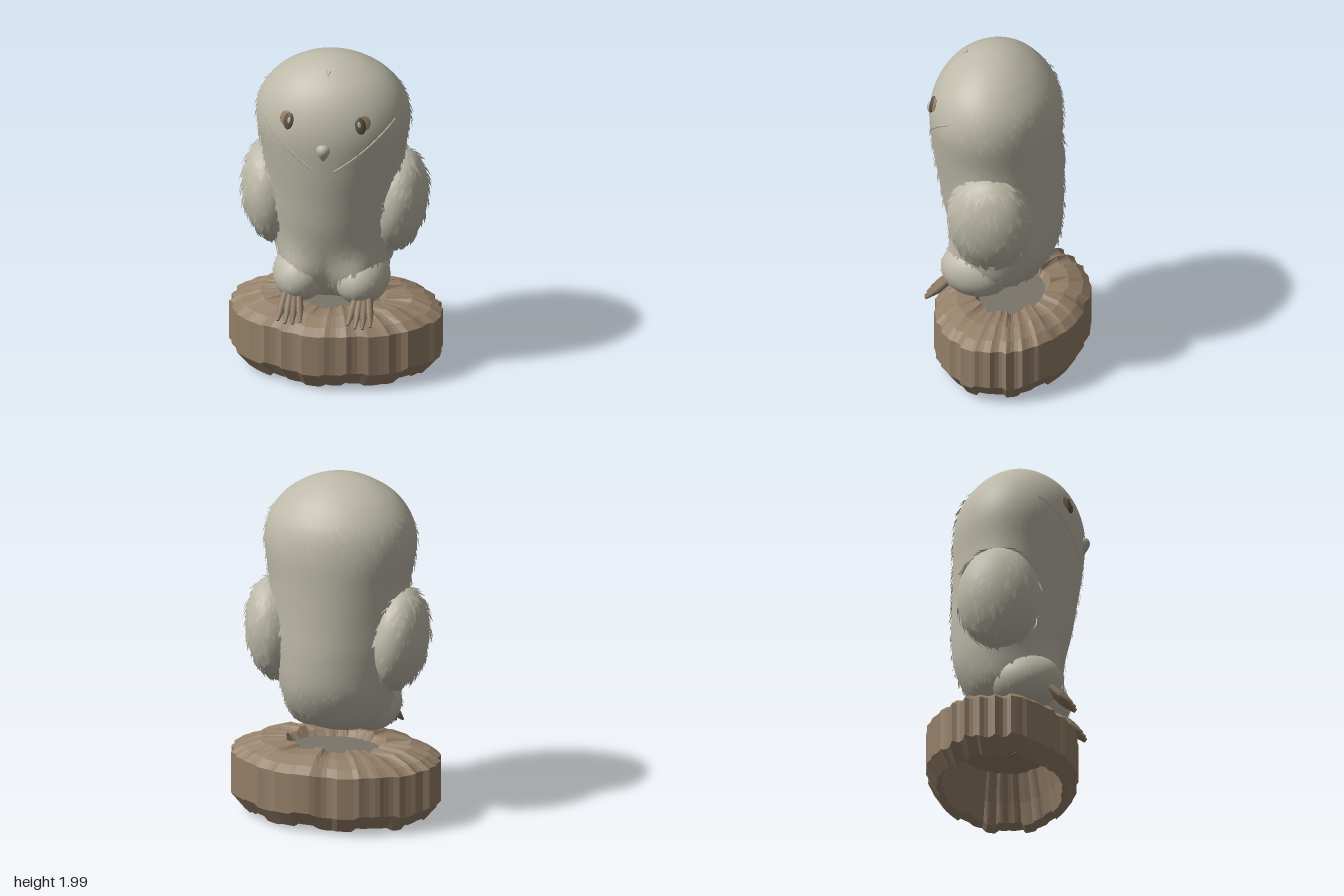
import * as THREE from 'three';
import { mergeGeometries } from 'three/addons/utils/BufferGeometryUtils.js';

const V = (x, y, z) => new THREE.Vector3(x, y, z);
const mat = (name, color, side = THREE.FrontSide) => new THREE.MeshStandardMaterial({ name, color, side });

// seeded random
let seed = 7;
const rnd = () => (seed = (seed * 16807) % 2147483647) / 2147483647;

// body sections: height, half width, front z, back z
const SECTIONS = [
  [0.50, 0, 0.035, 0.035], [0.51, 0.14, 0.14, -0.05], [0.56, 0.23, 0.19, -0.15],
  [0.65, 0.295, 0.235, -0.235], [0.8, 0.322, 0.29, -0.305], [1.0, 0.335, 0.35, -0.325],
  [1.2, 0.358, 0.385, -0.32], [1.4, 0.397, 0.415, -0.315], [1.6, 0.435, 0.43, -0.31],
  [1.75, 0.41, 0.4, -0.275], [1.87, 0.326, 0.332, -0.19], [1.95, 0.208, 0.235, -0.09],
  [1.988, 0.095, 0.155, 0.0], [2.0, 0, 0.075, 0.075],
];
const spine = new THREE.CatmullRomCurve3(SECTIONS.map(([y, w, f, b]) => V(w, y, (f + b) / 2)), false, 'catmullrom');
const depth = new THREE.CatmullRomCurve3(SECTIONS.map(([y, , f, b]) => V((f - b) / 2, y, 0)), false, 'catmullrom');

// soft swellings that blend the limbs into the body: centre, spread, outward push
const SWELLS = [
  [V(0.17, 0.67, 0.17), V(0.14, 0.16, 0.16), V(0.012, 0, 0.085)],
  [V(0.34, 1.08, 0), V(0.2, 0.24, 0.2), V(0.06, 0, 0)],
];

// surfaces take an angle a (0 = front) and a height parameter t in 0..1
function bodySurface(a, t) {
  const s = spine.getPoint(t), d = depth.getPoint(t).x;
  const p = V(s.x * Math.sin(a), s.y, s.z + d * Math.cos(a));
  const half = V(Math.abs(p.x), p.y, p.z), m = Math.tanh(p.x * 12);
  for (const [c, spread, push] of SWELLS) {
    const g = Math.exp(-half.clone().sub(c).divide(spread).lengthSq());
    p.add(V(push.x * m * g, 0, push.z * g));
  }
  return p;
}
const ellipsoid = (c, r, tilt = 0) => (a, t) => {
  const k = Math.sin(Math.PI * t);
  return V(r.x * k * Math.sin(a), -r.y * Math.cos(Math.PI * t), r.z * k * Math.cos(a))
    .applyAxisAngle(V(0, 0, 1), tilt).add(c);
};

// position, outward normal, downward and sideways directions
function frame(fn, a, t) {
  const e = 0.004, p = fn(a, t);
  const side = fn(a + e, t).sub(fn(a - e, t)).normalize();
  const down = fn(a, t - e).sub(fn(a, t + e)).normalize();
  return { p, side, down, n: down.clone().cross(side).normalize() };
}

// point on the front of the body at a given x and y
function onFront(x, y, lift = 0) {
  let lo = 0, hi = 1;
  for (let i = 0; i < 30; i++) {
    const m = (lo + hi) / 2;
    if (spine.getPoint(m).y < y) lo = m; else hi = m;
  }
  const a = Math.asin(THREE.MathUtils.clamp(x / spine.getPoint(lo).x, -1, 1));
  const { p, n } = frame(bodySurface, a, lo);
  return { p: p.addScaledVector(n, lift), n };
}

// smooth closed skin over a surface function
function skin(fn, nu, nv) {
  const pos = [], idx = [];
  for (let j = 0; j <= nv; j++)
    for (let i = 0; i < nu; i++) pos.push(...fn(i / nu * Math.PI * 2, j / nv).toArray());
  for (let j = 0; j < nv; j++)
    for (let i = 0; i < nu; i++) {
      const a = j * nu + i, b = j * nu + (i + 1) % nu;
      if (j > 0) idx.push(a, b, b + nu);
      if (j < nv - 1) idx.push(a, b + nu, a + nu);
    }
  const g = new THREE.BufferGeometry();
  g.setAttribute('position', new THREE.Float32BufferAttribute(pos, 3));
  g.setIndex(idx);
  g.computeVertexNormals();
  return g;
}

// small pointed feathers lying on a surface, tips down and slightly raised
function feathers(fn, count, t0, t1, size, lift, keep = () => true) {
  const pos = [], nor = [];
  for (let i = 0; i < count; i++) {
    const { p, side, down, n } = frame(fn, rnd() * Math.PI * 2, t0 + rnd() * (t1 - t0));
    const L = size * (0.7 + 0.6 * rnd());
    if (!keep(p)) continue;
    const at = (s, d, l) => p.clone().addScaledVector(side, s * L).addScaledVector(down, d * L).addScaledVector(n, l * L);
    const top = at(0, -0.3, -0.05), l = at(-0.3, 0.3, lift / 2), r = at(0.3, 0.3, lift / 2);
    const tip = at((rnd() - 0.5) * 0.3, 1, lift);
    for (const v of [top, l, r, l, tip, r]) { pos.push(...v.toArray()); nor.push(...n.toArray()); }
  }
  const g = new THREE.BufferGeometry();
  g.setAttribute('position', new THREE.Float32BufferAttribute(pos, 3));
  g.setAttribute('normal', new THREE.Float32BufferAttribute(nor, 3));
  return g;
}

// hollow fluted stump: [radius scale, height, raggedness] rings, lofted closed
function stump() {
  const flutes = 30, steps = 4, N = flutes * steps, pos = [], idx = [];
  const rings = [[0.42, 0.40, 0], [0.48, 0.44, 1], [0.72, 0.435, 0.7], [0.9, 0.4, 0.4], [1, 0.36, 0.3],
    [1, 0.12, 0.8], [0.87, 0.03, 1], [0.8, 0.06, 1], [0.75, 0.18, 0], [0.66, 0.34, 0]];
  const flute = [], jag = [];
  for (let f = 0; f < flutes; f++) {
    const cut = 0.045 * rnd(), ridge = 1 - 0.025 * rnd();
    for (let k = 0; k < steps; k++) {
      flute.push(ridge - cut * Math.sin(Math.PI * k / steps));
      jag.push(0.014 * Math.sin(f * 1.9) + 0.01 - 0.35 * cut * Math.sin(Math.PI * k / steps));
    }
  }
  for (const [s, y, rag] of rings)
    for (let i = 0; i < N; i++) {
      const a = i / N * Math.PI * 2, r = s * flute[i];
      pos.push(0.62 * r * Math.sin(a), Math.max(0, y + jag[i] * rag), -0.035 + 0.432 * r * Math.cos(a));
    }
  const M = rings.length;
  for (let j = 0; j < M; j++)
    for (let i = 0; i < N; i++) {
      const k = (i + 1) % N, a = j * N + i, b = j * N + k, c = ((j + 1) % M) * N + k, d = ((j + 1) % M) * N + i;
      idx.push(a, c, b, a, d, c);
    }
  let g = new THREE.BufferGeometry();
  g.setAttribute('position', new THREE.Float32BufferAttribute(pos, 3));
  g.setIndex(idx);
  g = g.toNonIndexed();
  g.computeVertexNormals();
  return g;
}

// tapered segment between two points
function taper(p, q, r0, r1) {
  const g = new THREE.CylinderGeometry(r1, r0, p.distanceTo(q), 8);
  g.applyQuaternion(new THREE.Quaternion().setFromUnitVectors(V(0, 1, 0), q.clone().sub(p).normalize()));
  return g.translate(...p.clone().add(q).multiplyScalar(0.5).toArray());
}

export function createModel() {
  const model = new THREE.Group();
  model.name = 'owlOnStump';
  const plumage = mat('plumage', 0xbdb9a9, THREE.DoubleSide);
  const bark = mat('bark', 0x947f68);
  const core = mat('stumpCore', 0x7a756a, THREE.DoubleSide);
  const horn = mat('beakGrey', 0xb7b3a6);
  const toeBrown = mat('toeBrown', 0x8b7861);
  const eyeDark = mat('eyeDark', 0x5b5346);
  const lidBrown = mat('lidBrown', 0x978062);
  const add = (name, geo, m) => {
    const mesh = new THREE.Mesh(geo, m);
    mesh.name = name;
    model.add(mesh);
    return mesh;
  };

  // body with feathers below the face line and behind the head
  add('body', skin(bodySurface, 80, 84), plumage);
  const outsideFace = (p) => p.y < 1.8 && (p.z < 0.14 || p.y < 1.39 + 0.72 * Math.abs(p.x));
  add('bodyFeathers', feathers(bodySurface, 1700, 0.2, 0.76, 0.034, 0.36, outsideFace), plumage);

  // stump and its inner disc
  add('stump', stump(), bark);
  const disc = new THREE.CircleGeometry(1, 40).rotateX(-Math.PI / 2).scale(0.265, 1, 0.185);
  add('stumpCore', disc, core).position.set(0, 0.402, -0.035);

  for (const s of [1, -1]) {
    const side = s > 0 ? 'left' : 'right';

    // wing and leg
    const wing = ellipsoid(V(s * 0.362, 1.08, -0.005), V(0.165, 0.295, 0.235), s * -0.1);
    add(side + 'Wing', skin(wing, 40, 28), plumage);
    add(side + 'WingFeathers', feathers(wing, 380, 0.1, 0.9, 0.052, 0.27), plumage);
    const leg = ellipsoid(V(s * 0.172, 0.64, 0.12), V(0.16, 0.16, 0.208));
    add(side + 'Leg', skin(leg, 36, 24), plumage);
    add(side + 'LegFeathers', feathers(leg, 70, 0.3, 0.85, 0.026, 0.3), plumage);

    // four toes with claws
    const toes = [];
    for (let i = 0; i < 4; i++) {
      const f = i - 1.5, x = s * 0.2;
      const a = V(x + f * 0.024, 0.575, 0.265), b = V(x + f * 0.034, 0.505, 0.335);
      const c = V(x + f * 0.043, 0.435 + Math.abs(f) * 0.01, 0.415 - Math.abs(f) * 0.012);
      toes.push(taper(a, b, 0.021, 0.023), taper(b, c, 0.023, 0.008));
    }
    add(side + 'Foot', mergeGeometries(toes), toeBrown);

    // eye with a lid patch on its outer side and a pale glint
    const eye = (name, x, y, rx, ry, rz, m, lift) => {
      const { p, n } = onFront(x, y, lift);
      const e = add(name, new THREE.SphereGeometry(1, 20, 14).scale(rx, ry, rz), m);
      e.position.copy(p);
      e.quaternion.setFromUnitVectors(V(0, 0, 1), n);
      e.rotateZ(s * 0.15);
    };
    eye(side + 'Eye', s * 0.205, 1.70, 0.031, 0.05, 0.014, eyeDark, 0.002);
    eye(side + 'EyeLid', s * 0.222, 1.712, 0.04, 0.043, 0.006, lidBrown, 0);
    eye(side + 'EyeGlint', s * 0.196, 1.708, 0.01, 0.018, 0.004, horn, 0.014);

    // raised edge of the face
    const rim = [];
    for (let i = 0; i <= 12; i++) {
      const k = i / 12;
      rim.push(onFront(s * (0.06 + 0.32 * k), 1.42 + 0.21 * k + 0.06 * k * k, -0.001).p);
    }
    add(side + 'FaceRim', new THREE.TubeGeometry(new THREE.CatmullRomCurve3(rim), 40, 0.006, 6), plumage);
  }

  // beak: egg-shaped, drawn to a point below
  const profile = [[0, -0.058], [0.012, -0.044], [0.032, -0.012], [0.04, 0.015], [0.033, 0.037], [0.016, 0.049], [0, 0.052]];
  const beak = new THREE.LatheGeometry(
    new THREE.SplineCurve(profile.map(([x, y]) => new THREE.Vector2(x, y))).getPoints(20), 24);
  add('beak', beak, horn).position.set(0, 1.54, 0.422);

  // tiny tuft on the crown
  const tuft = [-1, 1].map((k) => taper(onFront(k * 0.009, 1.956, 0.001).p, onFront(0, 1.938, 0.003).p, 0.005, 0.003));
  add('crownTuft', mergeGeometries(tuft), plumage);
  return model;
}
